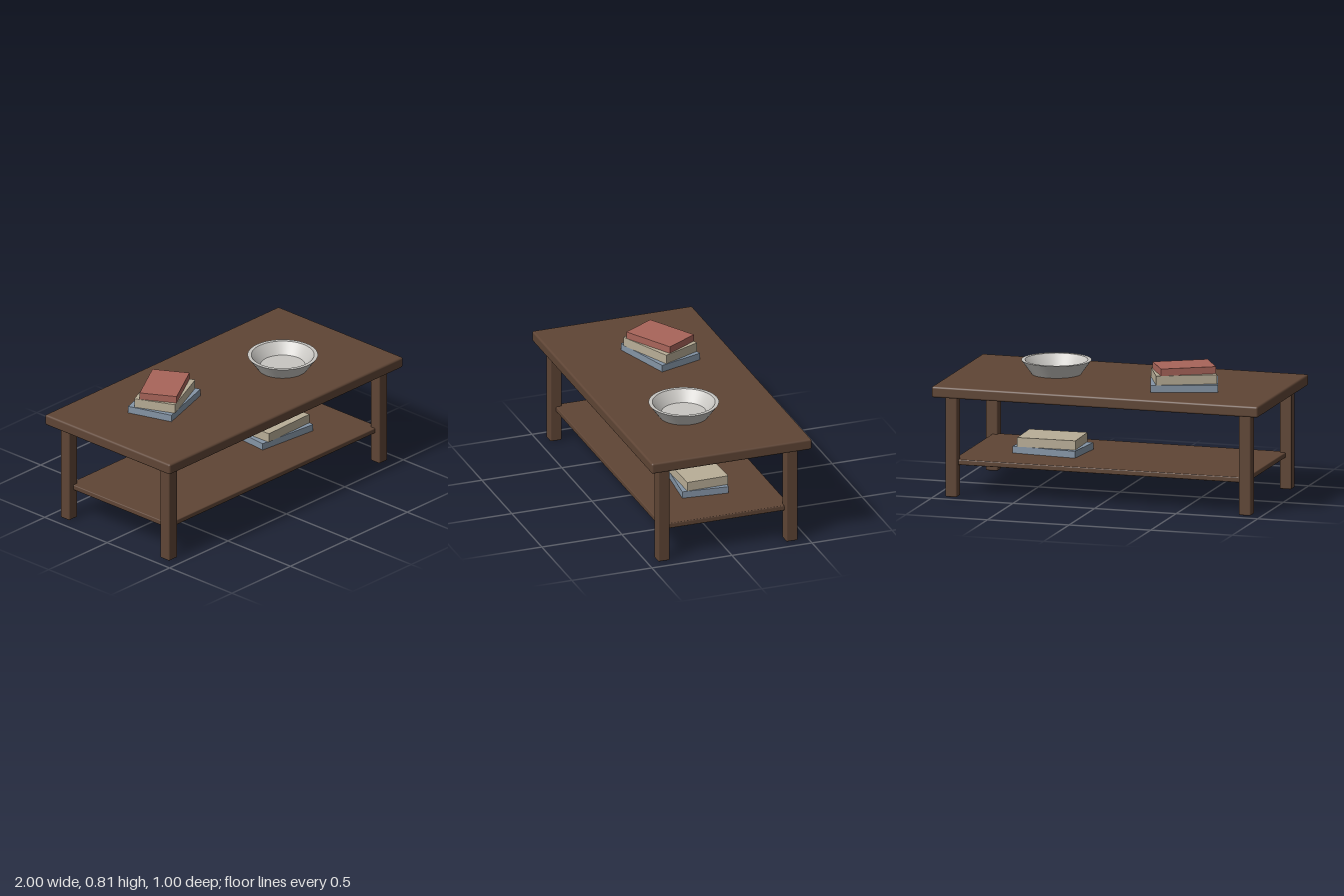
import * as THREE from 'three';
import { toCreasedNormals } from 'three/addons/utils/BufferGeometryUtils.js';
import { RoundedBoxGeometry } from 'three/addons/geometries/RoundedBoxGeometry.js';

function flat(name, color) {
  const m = new THREE.MeshStandardMaterial({ color });
  m.name = name;
  return m;
}

export function createModel() {
  const wood = flat('darkWood', 0x5f4535);
  const blue = flat('dustyBlue', 0x8595a6);
  const tan = flat('tanCover', 0xb9ae97);
  const red = flat('brickRed', 0xa9655a);
  const ceramic = flat('paleCeramic', 0xc8c6c2);

  const table = new THREE.Group();
  table.name = 'coffeeTable';

  const add = (name, geometry, material, x, y, z, turn = 0) => {
    const mesh = new THREE.Mesh(geometry, material);
    mesh.name = name;
    mesh.position.set(x, y, z);
    mesh.rotation.y = turn;
    table.add(mesh);
  };

  // Table top and lower shelf, with softened edges
  add('tableTop', new RoundedBoxGeometry(2, 0.066, 1, 2, 0.012), wood, 0, 0.634, 0);
  add('shelf', new RoundedBoxGeometry(1.8, 0.032, 0.8, 2, 0.006), wood, 0, 0.203, 0);

  // Four square legs
  const legShape = new RoundedBoxGeometry(0.072, 0.601, 0.072, 2, 0.008);
  for (const sx of [-1, 1])
    for (const sz of [-1, 1])
      add('leg', legShape, wood, sx * 0.9, 0.3005, sz * 0.4);

  // Books: name, material, width, depth, bottom, top, x, z, turn
  const books = [
    ['topBookLower', blue, 0.393, 0.281, 0.667, 0.709, -0.42, -0.085, 0.305],
    ['topBookMiddle', tan, 0.358, 0.253, 0.709, 0.764, -0.418, -0.083, 0.419],
    ['topBookUpper', red, 0.33, 0.222, 0.764, 0.806, -0.42, -0.083, 0.524],
    ['shelfBookLower', blue, 0.395, 0.28, 0.219, 0.26, 0.411, 0, -0.095],
    ['shelfBookUpper', tan, 0.354, 0.257, 0.26, 0.315, 0.415, 0.002, 0.022],
  ];
  for (const [name, mat, w, d, y0, y1, x, z, turn] of books)
    add(name, new THREE.BoxGeometry(w, y1 - y0, d), mat, x, (y0 + y1) / 2, z, turn);

  // Flared bowl with a flat rim and flat inner floor
  const profile = [
    [0, 0], [0.146, 0], [0.206, 0.083], [0.184, 0.083], [0.131, 0.018], [0, 0.018],
  ].map(([r, y]) => new THREE.Vector2(r, y));
  const bowl = toCreasedNormals(new THREE.LatheGeometry(profile, 48), 0.5);
  add('bowl', bowl, ceramic, 0.415, 0.667, 0.082);

  return table;
}
